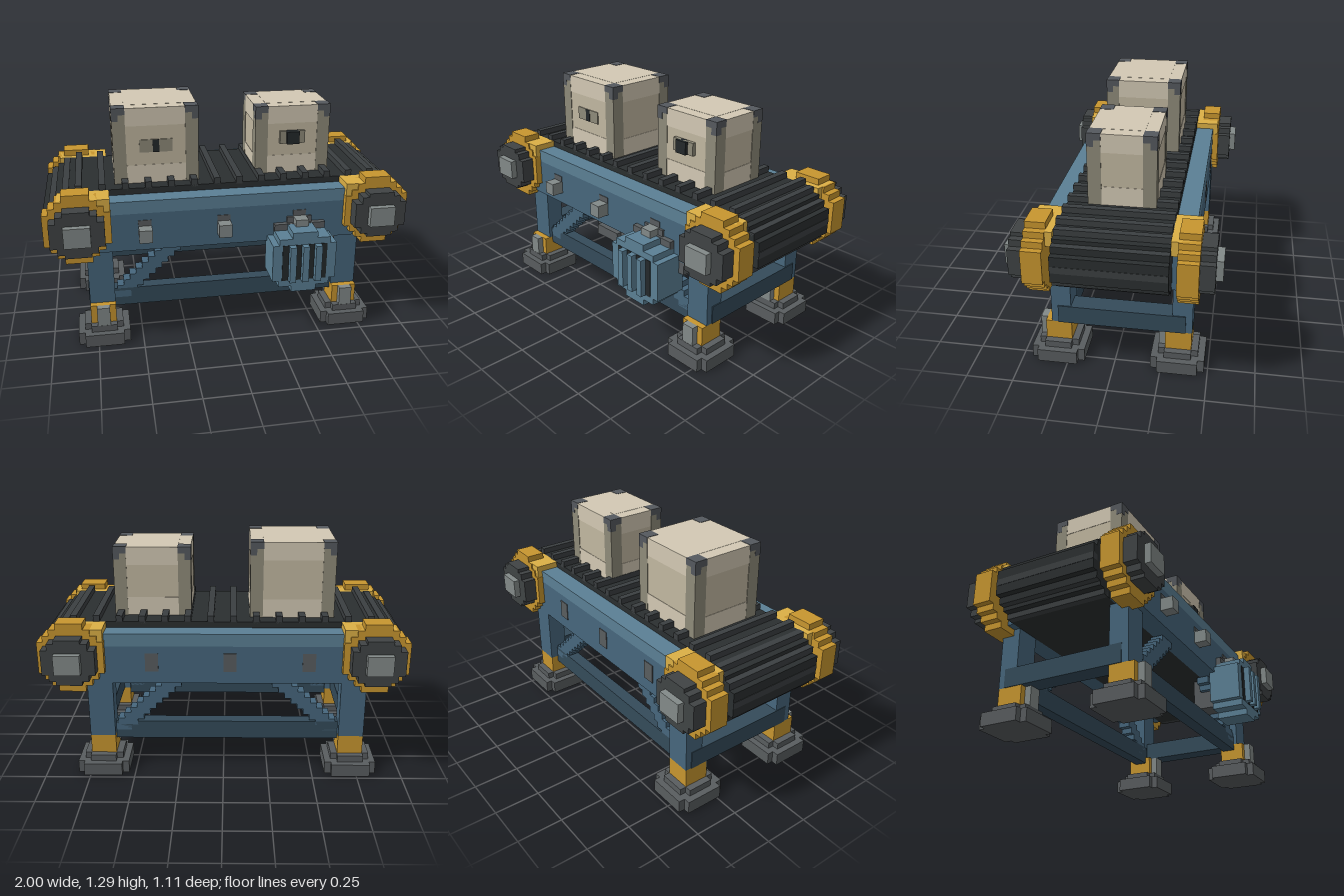
import * as THREE from 'three';

const C = {
  blue: 0x47677d, blueLight: 0x5b8095, blueDark: 0x344b5a, gold: 0xc8962f, goldLight: 0xdcb046,
  belt: 0x2b2f30, cleat: 0x3b3f41, hub: 0x404445, steel: 0x838a89, iron: 0x595d5f,
  crate: 0xc2b8a1, crateTop: 0xd3c9b4, crateEdge: 0x8f8b7a, corner: 0x55595e, slot: 0x24292b,
};
const V = 0.0357; // block unit
const ZC = -0.019; // centre line between the rails
const mats = {};
const mat = (c) => (mats[c] ??= new THREE.MeshStandardMaterial({ color: C[c], flatShading: true }));

// box given by its extents on each axis
function box(parent, name, color, x0, x1, y0, y1, z0, z1) {
  const m = new THREE.Mesh(new THREE.BoxGeometry(x1 - x0, y1 - y0, z1 - z0), mat(color));
  m.position.set((x0 + x1) / 2, (y0 + y1) / 2, (z0 + z1) / 2);
  m.name = name;
  parent.add(m);
  return m;
}

// stepped disc: corners of one quadrant from top to side, mirrored four ways
function stepped(parent, name, color, steps, x, y, z0, z1) {
  const q = [];
  steps.forEach(([w, h], i) => {
    q.push([w, h]);
    if (i + 1 < steps.length) q.push([w, steps[i + 1][1]]);
  });
  const r = [...q].reverse();
  const pts = [
    ...q, ...r.map(([w, h]) => [w, -h]),
    ...q.map(([w, h]) => [-w, -h]), ...r.map(([w, h]) => [-w, h]),
  ].map(([w, h]) => new THREE.Vector2(w, h));
  const geo = new THREE.ExtrudeGeometry(new THREE.Shape(pts), { depth: z1 - z0, bevelEnabled: false });
  const m = new THREE.Mesh(geo, mat(color));
  m.position.set(x, y, z0);
  m.name = name;
  parent.add(m);
  return m;
}

function group(parent, name) {
  const g = new THREE.Group();
  g.name = name;
  parent.add(g);
  return g;
}

function addBelt(root) {
  const g = group(root, 'belt');
  const z0 = -0.305, z1 = 0.267;
  stepped(g, 'beltLoop', 'belt', [[0.89, 0.16], [0.93, 0.13], [0.965, 0.107], [0.998, 0.07]], 0, 0.7, z0, z1);
  for (let i = 0; i < 14; i++) {
    const x = -0.822 + i * 0.125;
    box(g, 'cleat', 'cleat', x, x + V, 0.85, 0.893, z0, z1);
  }
  // ridges around both rollers
  for (const s of [-1, 1]) {
    for (const [x, y] of [[0.982, 0.7], [0.947, 0.79], [0.947, 0.61], [0.875, 0.845], [0.875, 0.558]]) {
      box(g, 'rollerRidge', 'cleat', s * x - 0.018, s * x + 0.018, y - 0.018, y + 0.018, z0, z1);
    }
  }
}

function addWheel(root, x, side) {
  const g = group(root, 'rollerBearing');
  const put = (name, color, steps, a, b) => {
    const z = [ZC + side * a, ZC + side * b].sort((p, q) => p - q);
    stepped(g, name, color, steps, x, 0.7, z[0], z[1]);
  };
  put('bearingRing', 'gold', [[0.073, 0.195], [0.11, 0.16], [0.145, 0.125], [0.178, 0.09]], 0.322, 0.427);
  put('hub', 'hub', [[0.07, 0.128], [0.107, 0.107], [0.143, 0.07]], 0.42, 0.502);
  put('axle', 'steel', [[0.07, 0.055]], 0.5, 0.537);
  // gold clamp over the rail end
  const s = Math.sign(x);
  const xs = [s * 0.645, s * 0.92].sort((p, q) => p - q);
  const zs = [ZC + side * 0.285, ZC + side * 0.42].sort((p, q) => p - q);
  box(g, 'railClamp', 'goldLight', xs[0], xs[1], 0.78, 0.86, zs[0], zs[1]);
}

function addRail(root, side) {
  const g = group(root, side > 0 ? 'frontRail' : 'backRail');
  const [z0, z1] = side > 0 ? [0.265, 0.372] : [-0.41, -0.303];
  box(g, 'railWeb', 'blue', -0.84, 0.84, 0.54, 0.755, z0, z1);
  box(g, 'railTop', 'blueLight', -0.84, 0.84, 0.755, 0.826, z0, z1);
  for (const x of [-0.465, -0.035, 0.39]) {
    if (side > 0) {
      box(g, 'bolt', 'steel', x - V, x + V, 0.61, 0.682, z1 - 0.02, 0.442);
      box(g, 'boltCap', 'iron', x - V, x + V, 0.682, 0.715, z1 - 0.02, z1 + 0.004);
    } else box(g, 'boltPlate', 'iron', x - V, x + V, 0.61, 0.715, z0 - 0.004, z0 + 0.02);
  }
}

function addLeg(root, x, side) {
  const g = group(root, 'leg');
  const z = side > 0 ? 0.288 : -0.357; // post centre
  const f = side > 0 ? 0.305 : -0.338; // foot centre
  box(g, 'post', 'blue', x - 0.07, x + 0.07, 0.217, 0.56, z - 0.053, z + 0.053);
  box(g, 'ankle', 'gold', x - 0.07, x + 0.07, 0.1, 0.217, f - 0.07, f + 0.07);
  box(g, 'ankleBolt', 'steel', x - V, x + V, 0.1, 0.217, f + 0.07, f + 0.106);
  // foot with notched corners
  for (const [name, r, y0, y1] of [['footBase', 0.143, 0, 0.072], ['footTop', 0.107, 0.072, 0.109]]) {
    const m = stepped(g, name, 'iron', [[r - V, r], [r, r - V]], 0, 0, 0, y1 - y0);
    m.rotation.x = -Math.PI / 2;
    m.position.set(x, y0, f);
  }
}

function addBrace(root, x, dir, z) {
  const g = group(root, 'diagonalBrace');
  for (let i = 0; i < 9; i++) {
    const cx = x + dir * i * V, y = 0.25 + i * V * 0.93;
    box(g, 'braceStep', 'blue', cx - 0.055, cx + 0.055, y - 0.02, y + 0.02, z - V, z + V);
  }
}

function addMotor(root) {
  const g = group(root, 'motor');
  const x = 0.388, y = 0.465;
  stepped(g, 'motorBody', 'blueLight', [[0.07, 0.178], [0.143, 0.143], [0.178, 0.107]], x, y, 0.34, 0.52);
  box(g, 'motorMount', 'iron', x - 0.143, x + 0.143, 0.6, 0.645, 0.34, 0.4);
  box(g, 'motorMountTop', 'iron', x - 0.07, x + 0.07, 0.64, 0.68, 0.34, 0.385);
  box(g, 'rearPlate', 'iron', x - 0.09, x + 0.09, 0.36, 0.55, 0.2, 0.35);
  box(g, 'cableBox', 'iron', 0.56, 0.602, 0.47, 0.54, 0.3, 0.37);
  for (let i = 0; i < 4; i++) {
    const cx = x + (i - 1.5) * 2 * V;
    box(g, 'ventSlot', 'slot', cx - V / 2, cx + V / 2, 0.36, 0.572, 0.48, 0.523);
    if (i < 3) box(g, 'coolingFin', 'blueLight', cx + V / 2, cx + V * 1.5, 0.36, 0.572, 0.5, 0.556);
  }
}

function addCrate(root, x0, x1, y1, z0, z1) {
  const g = group(root, 'crate');
  const e = 0.003, w = 0.071, y0 = 0.862;
  box(g, 'crateBody', 'crate', x0 + e, x1 - e, y0, y1 - e, z0 + e, z1 - e);
  box(g, 'crateLid', 'crateTop', x0 + w, x1 - w, y1 - 0.02, y1, z0 + w, z1 - w);
  // light bands at the head and foot of each face
  for (const [a, b] of [[y0, 0.965], [y1 - 0.1, y1 - 0.001]]) {
    box(g, 'crateBand', 'crateTop', x0 + 0.001, x1 - 0.001, a, b, z0 + 0.001, z1 - 0.001);
  }
  // corner posts and their metal caps
  for (const [xa, xb, sx] of [[x0, x0 + w, 1], [x1 - w, x1, -1]]) {
    for (const [za, zb] of [[z0, z0 + w], [z1 - w, z1]]) {
      box(g, 'cornerPost', 'crateEdge', xa, xb, y0, y1 - V, za, zb);
      box(g, 'cornerCap', 'corner', xa - 0.001, xb + 0.001, y1 - V, y1 + 0.001, za - 0.001, zb + 0.001);
      const ox = sx > 0 ? xa - 0.001 : xb - V + 0.001;
      const oz = za === z0 ? za - 0.001 : zb - V + 0.001;
      box(g, 'cornerCapDrop', 'corner', ox, ox + V, y1 - w, y1 - V, oz, oz + V);
    }
  }
  return g;
}

export function createModel() {
  const root = new THREE.Group();
  root.name = 'conveyor';
  addBelt(root);
  for (const side of [1, -1]) {
    addRail(root, side);
    for (const x of [-0.822, 0.82]) addWheel(root, x, side);
    for (const x of [-0.715, 0.678]) addLeg(root, x, side);
    const z = side > 0 ? 0.285 : -0.33;
    box(root, 'longBeam', 'blueDark', -0.66, 0.62, 0.18, 0.285, z - V, z + V);
    addBrace(root, -0.61, 1, z);
    addBrace(root, 0.575, -1, z);
  }
  for (const x of [-0.735, 0.7]) box(root, 'endBeam', 'blueDark', x - 0.054, x + 0.054, 0.217, 0.32, -0.375, 0.305);
  addMotor(root);

  // crates with front latches
  const a = addCrate(root, -0.61, -0.145, 1.285, -0.233, 0.195);
  box(a, 'latchPlate', 'crateEdge', -0.467, -0.288, 1.037, 1.108, 0.17, 0.198);
  box(a, 'latch', 'slot', -0.395, -0.36, 1.037, 1.108, 0.17, 0.2);
  const b = addCrate(root, 0.18, 0.605, 1.25, -0.197, 0.157);
  box(b, 'latchPlate', 'crateEdge', 0.318, 0.461, 1.037, 1.108, 0.14, 0.175);
  box(b, 'latch', 'slot', 0.354, 0.425, 1.037, 1.108, 0.14, 0.193);
  return root;
}
